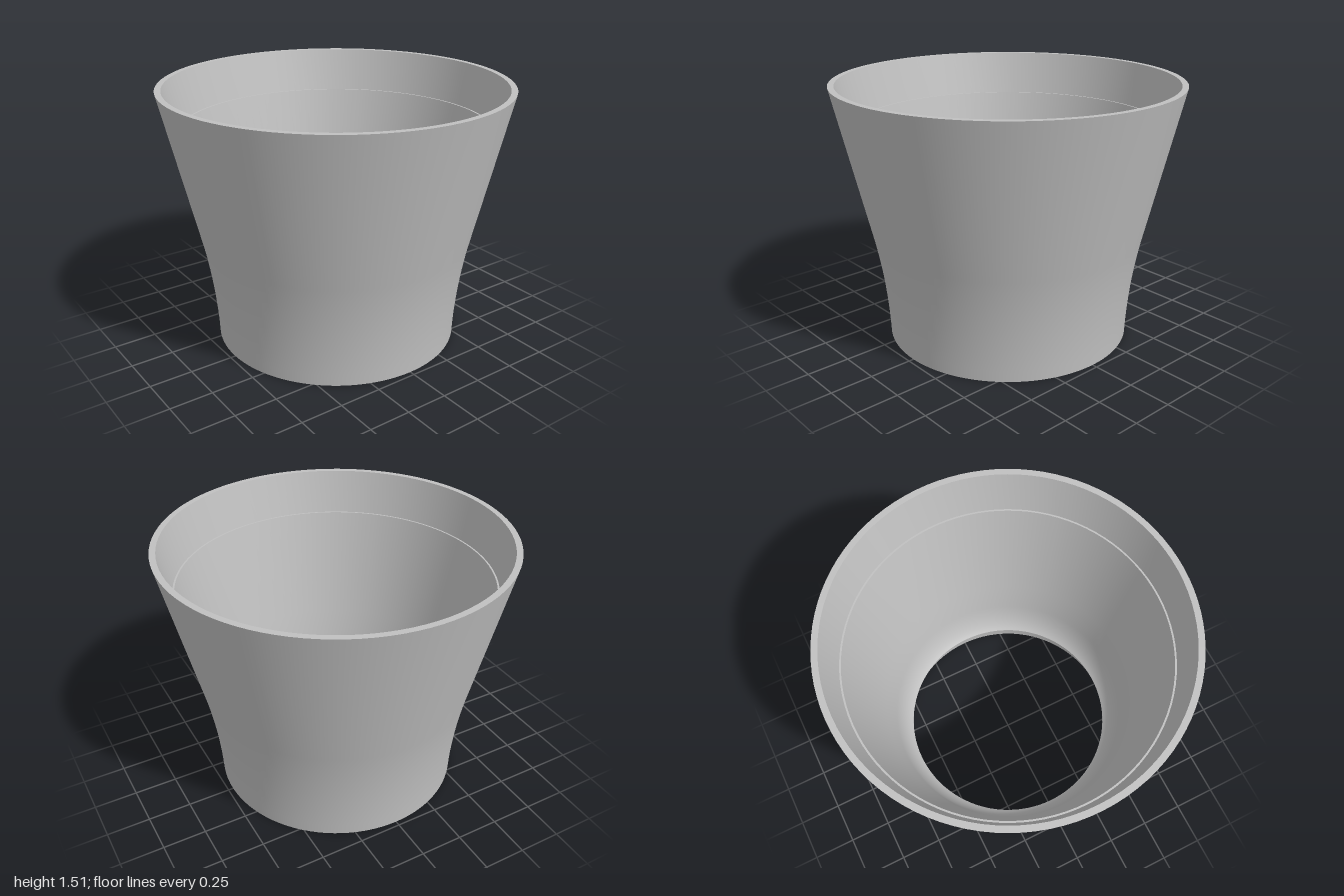
import * as THREE from 'three';
import { toCreasedNormals } from 'three/addons/utils/BufferGeometryUtils.js';

export function createModel() {
  const model = new THREE.Group();
  const grey = new THREE.MeshStandardMaterial({ color: 0xc0c0c0 });
  grey.name = 'grey';

  const curve = (from, control, to) =>
    new THREE.QuadraticBezierCurve(
      new THREE.Vector2(...from), new THREE.Vector2(...control), new THREE.Vector2(...to)
    ).getPoints(10);
  const point = (r, y) => new THREE.Vector2(r, y);

  const profile = [
    // outer wall: flared foot running into a straight cone, then the flat rim
    ...curve([0.72, 0], [0.73, 0.32], [0.795, 0.62]),
    point(1, 1.515),
    point(0.965, 1.515),
    // inner wall with a narrow ledge below the rim
    point(0.905, 1.26),
    point(0.895, 1.26),
    point(0.745, 0.6),
    // rounded shoulder down to the narrow opening
    ...curve([0.71, 0.42], [0.685, 0.25], [0.622, 0.19]),
    // hollow underside of the foot
    ...curve([0.622, 0.185], [0.665, 0.16], [0.67, 0.1]),
    point(0.673, 0.015),
    point(0.685, 0),
    point(0.72, 0),
  ];

  const geometry = toCreasedNormals(new THREE.LatheGeometry(profile, 96), Math.PI / 7);
  const body = new THREE.Mesh(geometry, grey);
  body.name = 'flaredSleeve';
  model.add(body);
  return model;
}
